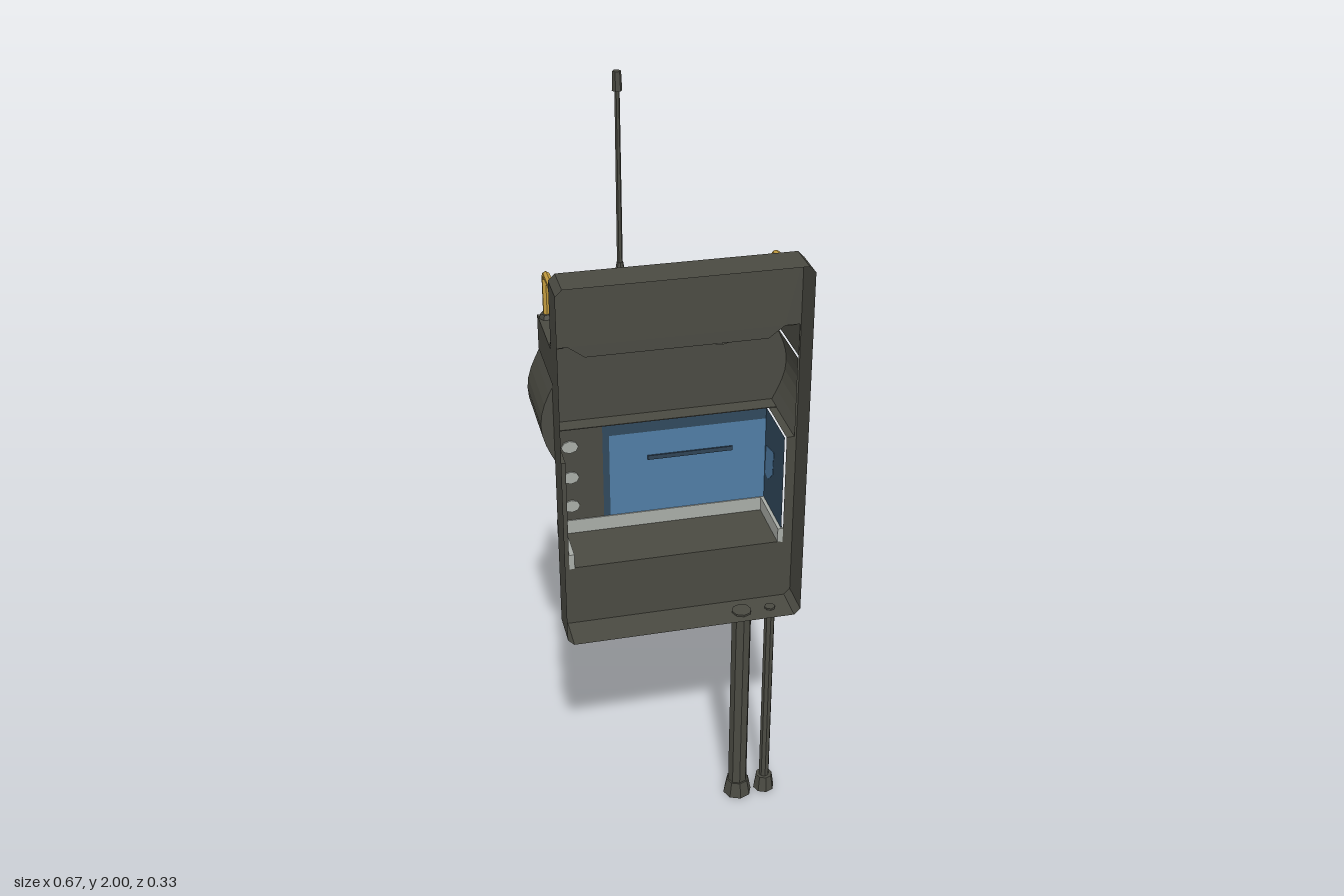
import * as THREE from 'three';

const mat = (name, color) => new THREE.MeshStandardMaterial({ name, color, flatShading: true, side: THREE.DoubleSide });

export function createModel() {
  const root = new THREE.Group();
  root.name = 'backpackUnit';
  const dark = mat('darkOlive', 0x4a4a42);
  const blue = mat('blue', 0x4f7ca4);
  const navy = mat('navy', 0x30485c);
  const pale = mat('paleGrey', 0xa8aca6);
  const yellow = mat('yellow', 0xc49c3e);
  const copper = mat('copper', 0x9c7240);
  const slotMat = mat('slotBlue', 0x2e4254);
  const white = new THREE.MeshStandardMaterial({ name: 'white', color: 0xd2d2d2, side: THREE.DoubleSide });

  const add = (name, geo, m, x = 0, y = 0, z = 0) => {
    const mesh = new THREE.Mesh(geo, m);
    mesh.name = name;
    mesh.position.set(x, y, z);
    root.add(mesh);
    return mesh;
  };
  const box = (name, m, x0, x1, y0, y1, z0, z1) =>
    add(name, new THREE.BoxGeometry(x1 - x0, y1 - y0, z1 - z0), m, (x0 + x1) / 2, (y0 + y1) / 2, (z0 + z1) / 2);
  const cyl = (name, m, x, z, y0, y1, rBottom, rTop, sides = 8, turn = 0) => {
    const g = new THREE.CylinderGeometry(rTop, rBottom, y1 - y0, sides).rotateY(turn);
    return add(name, g, m, x, (y0 + y1) / 2, z);
  };
  const toShape = pts => new THREE.Shape(pts.map(p => new THREE.Vector2(p[0], p[1])));
  const panel = (name, pts, z, m) => add(name, new THREE.ShapeGeometry(toShape(pts)), m, 0, 0, z);
  const rect = (x0, x1, y0, y1) => [[x0, y0], [x1, y0], [x1, y1], [x0, y1]];
  // sheet wall swept along z from an outline
  const wall = (name, pts, z0, z1, m) => {
    const pos = [];
    for (let i = 0; i < pts.length - 1; i++) {
      const [a, b] = pts[i], [c, d] = pts[i + 1];
      pos.push(a, b, z0, a, b, z1, c, d, z1, a, b, z0, c, d, z1, c, d, z0);
    }
    const g = new THREE.BufferGeometry();
    g.setAttribute('position', new THREE.Float32BufferAttribute(pos, 3));
    g.computeVertexNormals();
    return add(name, g, m);
  };
  const mirror = pts => pts.map(([x, y]) => [-x, y]).reverse();

  // open front tray with clipped corners
  const c = 0.016, W = 0.305, B = 0.605, T = 1.58, plateZ = 0.07;
  const trayRight = [[W - c, B], [W, B + c], [W, T - c], [W - c, T]];
  const tray = [...trayRight, ...mirror(trayRight)];
  wall('trayWall', [...tray, tray[0]], 0.165, plateZ, dark);
  const saddle = [[0.302, 1.39], [0.265, 1.39], [0.225, 1.36]];
  const holeRight = [[0.28, 0.77], [0.28, 1.08], [0.3, 1.081], ...saddle];
  const plate = toShape(tray);
  plate.holes.push(new THREE.Path([...holeRight, ...mirror(holeRight)].map(p => new THREE.Vector2(p[0], p[1]))));
  add('trayBackPlate', new THREE.ShapeGeometry(plate), dark, 0, 0, plateZ);

  // upper housing with a saddle-shaped top
  const deckRight = [[0.305, 1.3], [0.305, 1.39], ...saddle.slice(1)];
  const deck = [...deckRight, ...mirror(deckRight)];
  wall('deckWall', deck, plateZ, -0.127, dark);
  panel('deckBack', deck, -0.127, dark);

  // middle housing with bulging sides
  const bulge = [[0.28, 1.08]];
  for (let i = 0; i <= 8; i++) {
    const t = i / 8;
    bulge.push([0.3 + 0.036 * Math.sin(Math.PI * t), 1.08 + 0.22 * t]);
  }
  wall('bulgeLeft', bulge, plateZ, -0.135, dark);
  wall('bulgeRight', mirror(bulge), plateZ, -0.135, dark);
  panel('housingBack', [...bulge, ...mirror(bulge)], -0.135, dark);
  for (const s of [-1, 1])
    panel('bulgeFront', bulge.slice(1).map(([x, y]) => [s * x, y]), plateZ - 0.001, dark);
  box('housingUnderside', dark, -0.3, 0.3, 1.08, 1.082, -0.135, -0.09);
  box('housingStep', dark, -0.3, 0.3, 1.298, 1.3, -0.135, -0.126);

  // three round ports on the back
  for (const x of [-0.168, 0, 0.168]) {
    const pts = [[0.073, 0], [0.063, 0.03], [0.043, 0.03], [0.034, 0.015], [0, 0.015]].map(p => new THREE.Vector2(...p));
    const port = add('port', new THREE.LatheGeometry(pts, 8).rotateX(-Math.PI / 2), dark, x, 1.185, -0.135);
    const lens = new THREE.Mesh(new THREE.CylinderGeometry(1, 1, 0.008, 8).rotateX(Math.PI / 2), copper);
    lens.name = 'portLens';
    const r = x < 0 ? 0.018 : 0.032;
    lens.scale.set(r, r, 1);
    lens.position.z = -0.02;
    port.add(lens);
  }

  // blue tank beside a control panel
  const tankZ = -0.095;
  panel('tankBack', rect(-0.14, 0.275, 0.81, 1.048), tankZ, blue);
  panel('tankTopStrip', rect(-0.14, 0.275, 1.048, 1.08), tankZ, navy);
  panel('tankPost', rect(-0.157, -0.14, 0.81, 1.08), tankZ, navy);
  wall('tankSide', [[0.275, 0.81], [0.275, 1.08]], plateZ, tankZ, navy);
  const patch = toShape([[0.015, 0.99], [0.03, 0.985], [0.08, 0.975], [0.085, 0.89], [0.06, 0.885], [0.02, 0.92]]);
  const patchGeo = new THREE.ExtrudeGeometry(patch, { depth: 0.004, bevelEnabled: false }).rotateY(Math.PI / 2);
  add('tankSidePatch', patchGeo, blue, 0.274, 0, 0);
  box('tankSlot', slotMat, -0.04, 0.185, 0.967, 0.979, tankZ - 0.004, tankZ + 0.004);
  panel('controlPanel', rect(-0.28, -0.157, 0.81, 1.08), tankZ, dark);
  wall('controlSide', [[-0.28, 0.81], [-0.28, 1.08]], plateZ, tankZ, dark);
  for (const y of [0.855, 0.94, 1.03]) {
    const g = new THREE.CylinderGeometry(0.022, 0.022, 0.009, 8).rotateX(Math.PI / 2);
    add('panelButton', g, pale, -0.242, y, tankZ).scale.y = 0.8;
  }

  // pale band and floor below the tank
  box('bandBack', pale, -0.28, 0.28, 0.77, 0.812, -0.106, -0.092);
  for (const s of [-1, 1])
    add('bandSide', new THREE.BoxGeometry(0.014, 0.042, 0.164), pale, s * 0.273, 0.791, -0.012);
  box('floor', dark, -0.275, 0.275, 0.768, 0.773, -0.1, plateZ);

  // connector blocks under the floor
  for (const [x0, x1] of [[-0.03, 0.05], [-0.13, -0.06], [-0.25, -0.17]])
    box('connectorBlock', dark, x0, x1, 0.61, 0.77, -0.085, plateZ);

  // hanging hoses with end fittings
  for (const [x, r, foot] of [[0.16, 0.026, 0.039], [0.236, 0.014, 0.029]]) {
    cyl('hose', dark, x, 0.12, 0.03, B + 0.005, r, r, 8);
    cyl('hoseFitting', dark, x, 0.12, 0, 0.045, foot, foot * 0.78, 8);
  }

  // yellow grab handles with hex feet
  for (const s of [-1, 1]) {
    const path = new THREE.CurvePath();
    const pts = [[1.38, -0.105], [1.495, -0.105], [1.51, -0.092], [1.51, 0.033], [1.495, 0.046], [1.38, 0.046]]
      .map(([y, z]) => new THREE.Vector3(s * 0.285, y, z));
    for (let i = 0; i < pts.length - 1; i++) path.add(new THREE.LineCurve3(pts[i], pts[i + 1]));
    add('handle', new THREE.TubeGeometry(path, 48, 0.009, 6), yellow);
    for (const z of [-0.105, 0.046]) cyl('handleFoot', dark, s * 0.285, z, 1.385, 1.402, 0.02, 0.015, 6, Math.PI / 2);
  }

  // white domed canister
  cyl('canisterBase', dark, 0.11, -0.022, 1.355, 1.39, 0.09, 0.078, 8);
  const dome = [[0.071, 1.385], [0.071, 1.485], [0.064, 1.503], [0.045, 1.512], [0, 1.516]].map(p => new THREE.Vector2(...p));
  add('canister', new THREE.LatheGeometry(dome, 10), white, 0.11, 0, -0.022);

  // antenna: stacked nuts, cone, rod and tip
  const stages = [
    ['antennaBase', 1.355, 1.39, 0.057, 0.05, 6], ['antennaNeck', 1.39, 1.425, 0.027, 0.027, 8],
    ['antennaNut', 1.425, 1.48, 0.034, 0.034, 6], ['antennaCone', 1.48, 1.54, 0.018, 0.008, 8],
    ['antennaRod', 1.53, 1.97, 0.007, 0.006, 6], ['antennaTip', 1.955, 2, 0.012, 0.01, 6]];
  for (const [name, y0, y1, r0, r1, n] of stages) cyl(name, dark, -0.112, -0.055, y0, y1, r0, r1, n, Math.PI / 2);

  return root;
}
